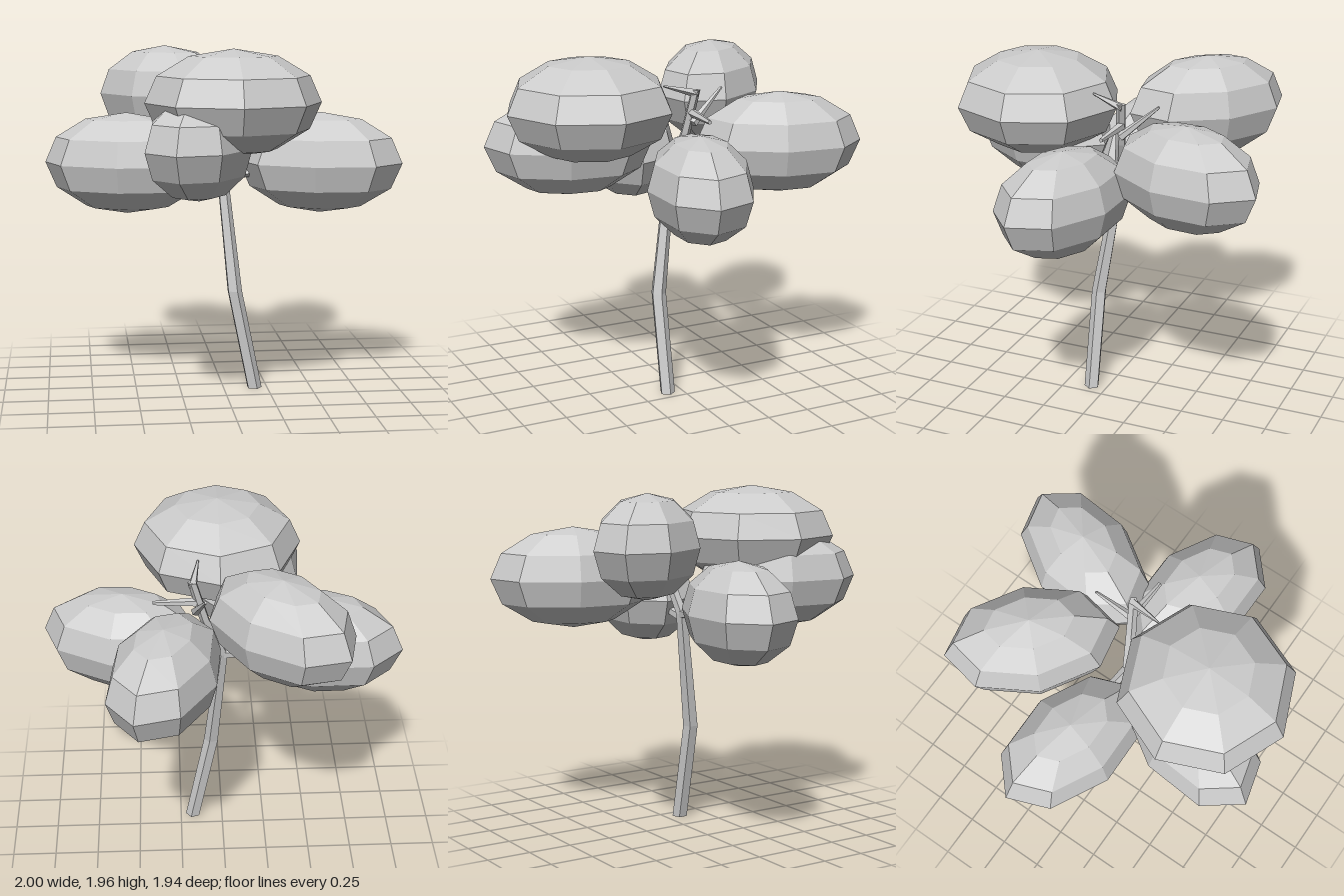
import * as THREE from 'three';

const material = new THREE.MeshStandardMaterial({ color: 0xcccccc, flatShading: true });

// Tapered limb piece whose end rings both stay level, sheared from a to b
function limb(name, a, b, r0, r1, sides = 5) {
  const geo = new THREE.CylinderGeometry(r1, r0, 1, sides).rotateY(Math.PI / 2);
  const start = new THREE.Vector3(...a), end = new THREE.Vector3(...b);
  const pos = geo.attributes.position, p = new THREE.Vector3();
  for (let i = 0; i < pos.count; i++) {
    p.lerpVectors(start, end, pos.getY(i) + 0.5);
    pos.setXYZ(i, pos.getX(i) + p.x, p.y, pos.getZ(i) + p.z);
  }
  geo.computeVertexNormals();
  const mesh = new THREE.Mesh(geo, material);
  mesh.name = name;
  return mesh;
}

// Tapered twig turned to point from a to b
function twig(a, b, r0, r1) {
  const start = new THREE.Vector3(...a), end = new THREE.Vector3(...b);
  const dir = end.clone().sub(start);
  const mesh = new THREE.Mesh(new THREE.CylinderGeometry(r1, r0, dir.length(), 5), material);
  mesh.position.copy(start).add(end).multiplyScalar(0.5);
  mesh.quaternion.setFromUnitVectors(new THREE.Vector3(0, 1, 0), dir.normalize());
  mesh.name = 'branch';
  return mesh;
}

export function createModel() {
  const tree = new THREE.Group();
  tree.name = 'tree';

  // Bent trunk: centre and radius at each level
  const trunk = new THREE.Group();
  trunk.name = 'trunk';
  const levels = [
    [[0.176, 0, 0.09], 0.044],
    [[0.061, 0.57, 0.09], 0.044],
    [[0, 1.24, -0.01], 0.033],
    [[0.1, 1.5, -0.06], 0.029],
    [[0.165, 1.75, -0.09], 0.026],
  ];
  for (let i = 0; i < levels.length - 1; i++) {
    const [a, r0] = levels[i], [b, r1] = levels[i + 1];
    trunk.add(limb('trunkSection', a, b, r0, r1));
  }
  tree.add(trunk);

  // Branches
  const branches = new THREE.Group();
  branches.name = 'branches';
  branches.add(
    twig([0, 1.22, -0.01], [0.26, 1.25, 0.03], 0.03, 0.02),
    twig([0, 1.24, -0.01], [-0.3, 1.26, -0.04], 0.03, 0.02),
    twig([0.14, 1.62, -0.08], [0.38, 1.61, -0.065], 0.026, 0.012),
    twig([0.15, 1.56, -0.08], [0.1, 1.74, -0.285], 0.026, 0.008),
    twig([0.165, 1.73, -0.1], [0.13, 1.78, 0.09], 0.026, 0.006),
  );
  tree.add(branches);

  // Leaf clumps: name, centre, turn about y, half width, half depth
  const clumps = [
    ['frontTopFoliage', [0.01, 1.67, 0.48], 0, 0.475, 0.475],
    ['leftFoliage', [0.55, 1.3, 0.08], -0.263, 0.465, 0.288],
    ['rightFoliage', [-0.54, 1.3, 0], -0.235, 0.47, 0.288],
    ['backLeftFoliage', [0.325, 1.45, -0.53], 1.222, 0.467, 0.288],
    ['backRightFoliage', [-0.294, 1.66, -0.42], 2.35, 0.467, 0.288],
    ['frontLowFoliage', [-0.18, 1.435, 0.53], 1.235, 0.467, 0.288],
  ];
  const ball = new THREE.SphereGeometry(1, 8, 6);
  for (const [name, centre, turn, w, d] of clumps) {
    const mesh = new THREE.Mesh(ball, material);
    mesh.name = name;
    mesh.position.set(...centre);
    mesh.rotation.y = turn;
    mesh.scale.set(w, 0.285, d);
    tree.add(mesh);
  }
  return tree;
}
